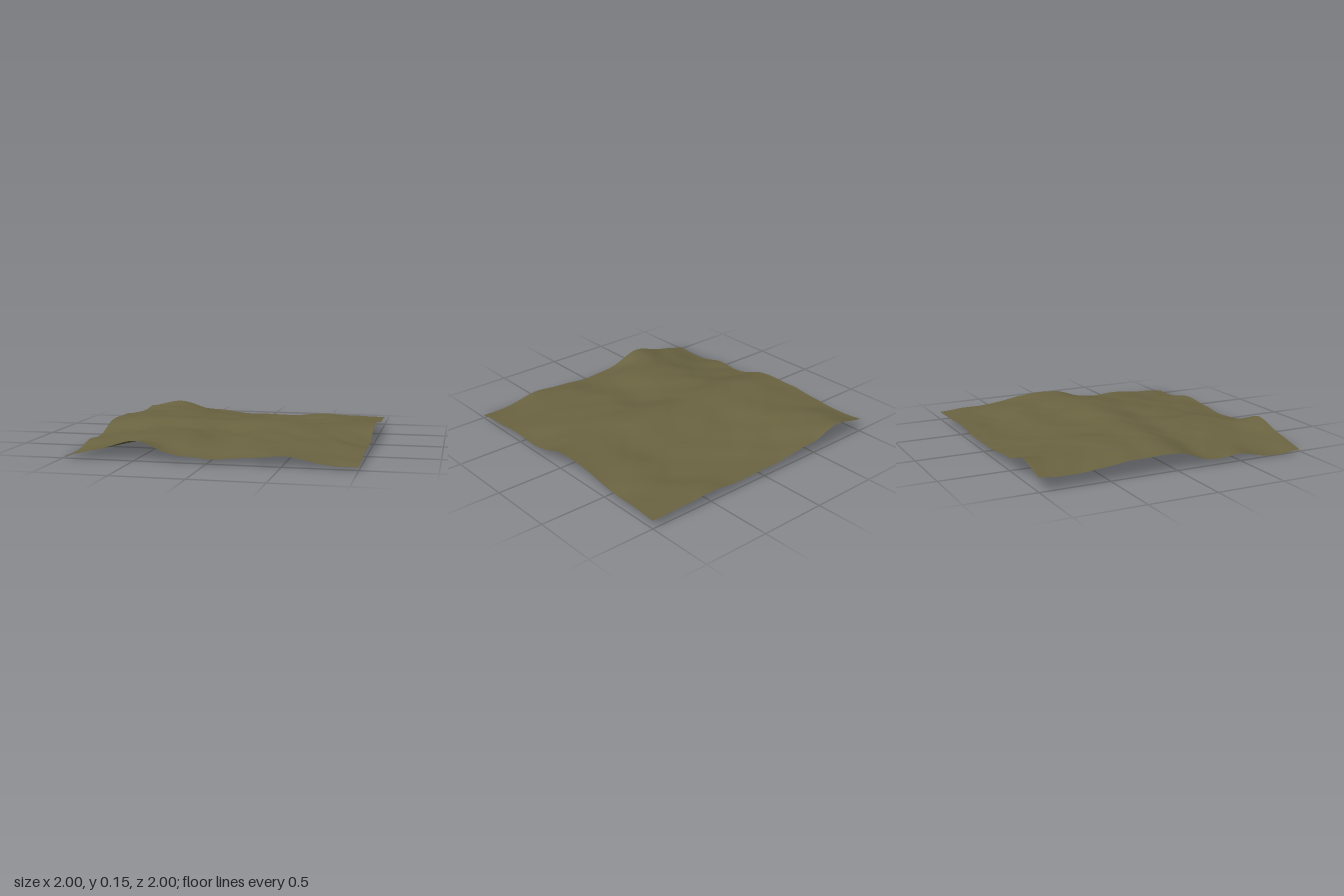
import * as THREE from 'three';

// Ground heights in thousandths: rows run back (z = -1) to front (z = 1), columns x = -1 to 1
const HEIGHTS = [
  [100, 150, 98, 72, 62, 62, 80, 67, 69],
  [88, 128, 118, 90, 75, 60, 65, 85, 76],
  [110, 130, 143, 118, 105, 100, 95, 112, 96],
  [128, 142, 146, 128, 120, 114, 106, 122, 129],
  [122, 143, 150, 145, 151, 160, 145, 132, 130],
  [52, 82, 115, 115, 108, 128, 125, 100, 58],
  [50, 76, 125, 135, 100, 110, 100, 86, 62],
  [11, 57, 108, 117, 76, 85, 80, 60, 46],
  [20, 74, 137, 62, 37, 52, 76, 36, 26],
];
const LAST = HEIGHTS.length - 1;

// Catmull-Rom interpolation through a row of samples, t from 0 to LAST
function smooth(sample, t) {
  const i = Math.min(Math.floor(t), LAST - 1);
  const f = t - i;
  const at = (k) => sample(Math.max(0, Math.min(LAST, k)));
  const [a, b, c, d] = [at(i - 1), at(i), at(i + 1), at(i + 2)];
  return b + 0.5 * f * (c - a + f * (2 * a - 5 * b + 4 * c - d + f * (3 * (b - c) + d - a)));
}

// Fine wrinkles laid over the broad shape
function ripple(x, z) {
  return 0.0026 * Math.sin(7 * x + 15 * z + 2 * Math.sin(5 * x - 2 * z))
    + 0.002 * Math.sin(17 * x - 11 * z + 2 * Math.sin(6 * z + 1))
    + 0.001 * Math.sin(29 * z + 9 * x + 2 * Math.sin(11 * x));
}

function groundHeight(x, z) {
  const u = (x + 1) * LAST / 2;
  const v = (z + 1) * LAST / 2;
  const broad = smooth((r) => smooth((c) => HEIGHTS[r][c], u), v) / 1000;
  return Math.max(0, broad + ripple(x, z));
}

export function createModel() {
  const group = new THREE.Group();
  group.name = 'terrainPatch';

  const earth = new THREE.MeshStandardMaterial({ color: 0x6a6341, side: THREE.DoubleSide });
  earth.name = 'olive earth';

  // Open square sheet of rolling ground
  const sheet = new THREE.PlaneGeometry(2, 2, 96, 96).rotateX(-Math.PI / 2);
  const p = sheet.attributes.position;
  for (let i = 0; i < p.count; i++) p.setY(i, groundHeight(p.getX(i), p.getZ(i)));
  sheet.computeVertexNormals();

  const ground = new THREE.Mesh(sheet, earth);
  ground.name = 'ground';
  group.add(ground);
  return group;
}
